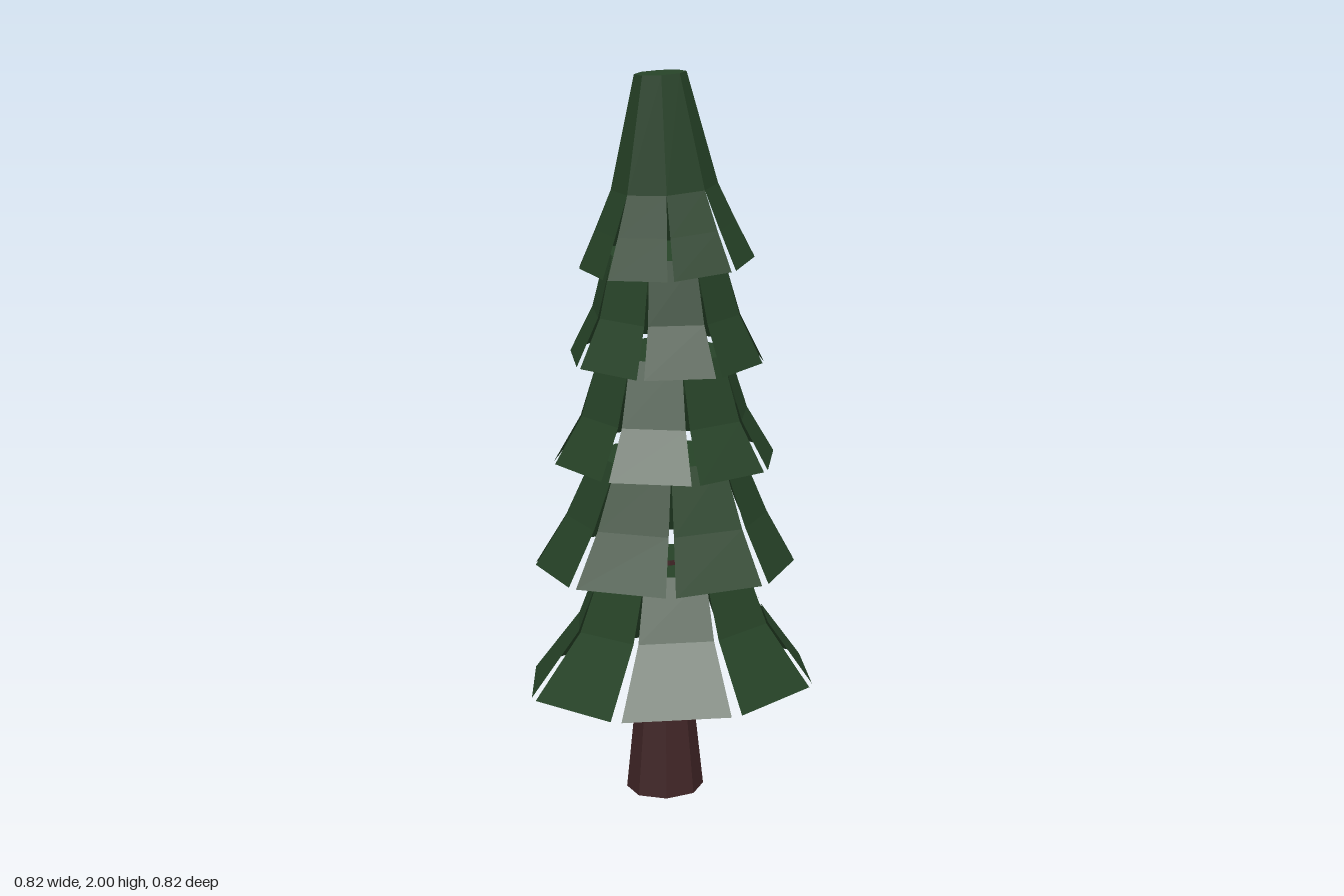
import * as THREE from 'three';

const SIDES = 8;
const STEP = (Math.PI * 2) / SIDES;
const rad = THREE.MathUtils.degToRad;

// A ring is { r, y, x, z, sx, sz }: radius, height, centre and slopes.
function point(ring, angle) {
  const dx = Math.sin(angle) * ring.r, dz = Math.cos(angle) * ring.r;
  return [ring.x + dx, ring.y + (ring.sx || 0) * dx - (ring.sz || 0) * dz, ring.z + dz];
}

function geometryFrom(positions) {
  const g = new THREE.BufferGeometry();
  g.setAttribute('position', new THREE.Float32BufferAttribute(positions, 3));
  g.computeVertexNormals();
  return g;
}

// Eight strips joining the rings; each ring's gap (radians) opens a slit between strips.
function skirt(rings, turn) {
  const out = [];
  for (let i = 0; i < SIDES; i++) {
    const a0 = turn + i * STEP, a1 = a0 + STEP;
    for (let k = 0; k < rings.length - 1; k++) {
      const lo = rings[k], hi = rings[k + 1], gl = lo.gap || 0, gh = hi.gap || 0;
      const a = point(lo, a0 + gl), b = point(lo, a1 - gl);
      const c = point(hi, a1 - gh), d = point(hi, a0 + gh);
      out.push(...a, ...b, ...c, ...a, ...c, ...d);
    }
  }
  return geometryFrom(out);
}

// Flat eight-sided lid over a ring, facing up or down.
function lid(ring, turn, up) {
  const out = [], centre = [ring.x, ring.y, ring.z];
  for (let i = 0; i < SIDES; i++) {
    const a = point(ring, turn + i * STEP), b = point(ring, turn + (i + 1) * STEP);
    out.push(...centre, ...(up ? a : b), ...(up ? b : a));
  }
  return geometryFrom(out);
}

export function createModel() {
  const tree = new THREE.Group();
  tree.name = 'pineTree';

  const needles = new THREE.MeshStandardMaterial({ color: 0x264227, side: THREE.DoubleSide, flatShading: true });
  needles.name = 'pineGreen';
  const bark = new THREE.MeshStandardMaterial({ color: 0x402526, flatShading: true });
  bark.name = 'barkBrown';

  const add = (parent, geometry, material, name) => {
    const mesh = new THREE.Mesh(geometry, material);
    mesh.name = name;
    parent.add(mesh);
  };

  // Flared trunk
  const trunk = new THREE.Group();
  trunk.name = 'trunk';
  const trunkRings = [
    { r: 0.109, y: 0.005, x: -0.01, z: 0.015, sx: 0.03 },
    { r: 0.074, y: 0.34, x: -0.01, z: 0.02 },
    { r: 0.058, y: 0.68, x: 0, z: 0.01 },
  ];
  add(trunk, skirt(trunkRings, STEP / 2), bark, 'trunkSides');
  add(trunk, lid(trunkRings[0], STEP / 2, false), bark, 'trunkBase');
  tree.add(trunk);

  // Branch tiers, from the lowest up: turn in degrees, slopes, then rings [r, y, x, z]
  const tiers = [
    { turn: 0, sx: 0.04, sz: 0, rings: [[0.412, 0.328, 0, 0], [0.28, 0.5, 0.005, 0], [0.215, 0.665, 0.005, 0]] },
    { turn: 22.5, sx: 0, sz: 0.02, rings: [[0.362, 0.66, -0.015, 0], [0.28, 0.8, -0.01, 0], [0.205, 0.97, -0.005, 0.005]] },
    { turn: -10, sx: -0.03, sz: 0.07, rings: [[0.312, 0.962, -0.012, 0.008], [0.235, 1.09, -0.01, 0.015], [0.18, 1.26, -0.008, 0.025]] },
    { turn: 6, sx: -0.05, sz: 0.12, rings: [[0.27, 1.243, -0.005, 0.02], [0.205, 1.37, 0, 0.037], [0.16, 1.53, 0.003, 0.055]] },
    { turn: 22.5, sx: 0, sz: 0.17, rings: [[0.235, 1.5, 0.01, 0.053], [0.187, 1.6, 0.011, 0.066], [0.142, 1.7, 0.013, 0.08], [0.068, 1.99, 0.02, 0.13]] },
  ];
  const gaps = [2.1, 1.4, 0, 0];

  tiers.forEach(({ turn, sx, sz, rings }, i) => {
    const tier = new THREE.Group();
    tier.name = `branchTier${i + 1}`;
    const list = rings.map(([r, y, x, z], k) => ({ r, y, x, z, sx, sz, gap: rad(gaps[k]) }));
    add(tier, skirt(list, rad(turn)), needles, 'branchPanels');
    add(tier, lid(list[list.length - 1], rad(turn), true), needles, 'tierTop');
    tree.add(tier);
  });

  return tree;
}
